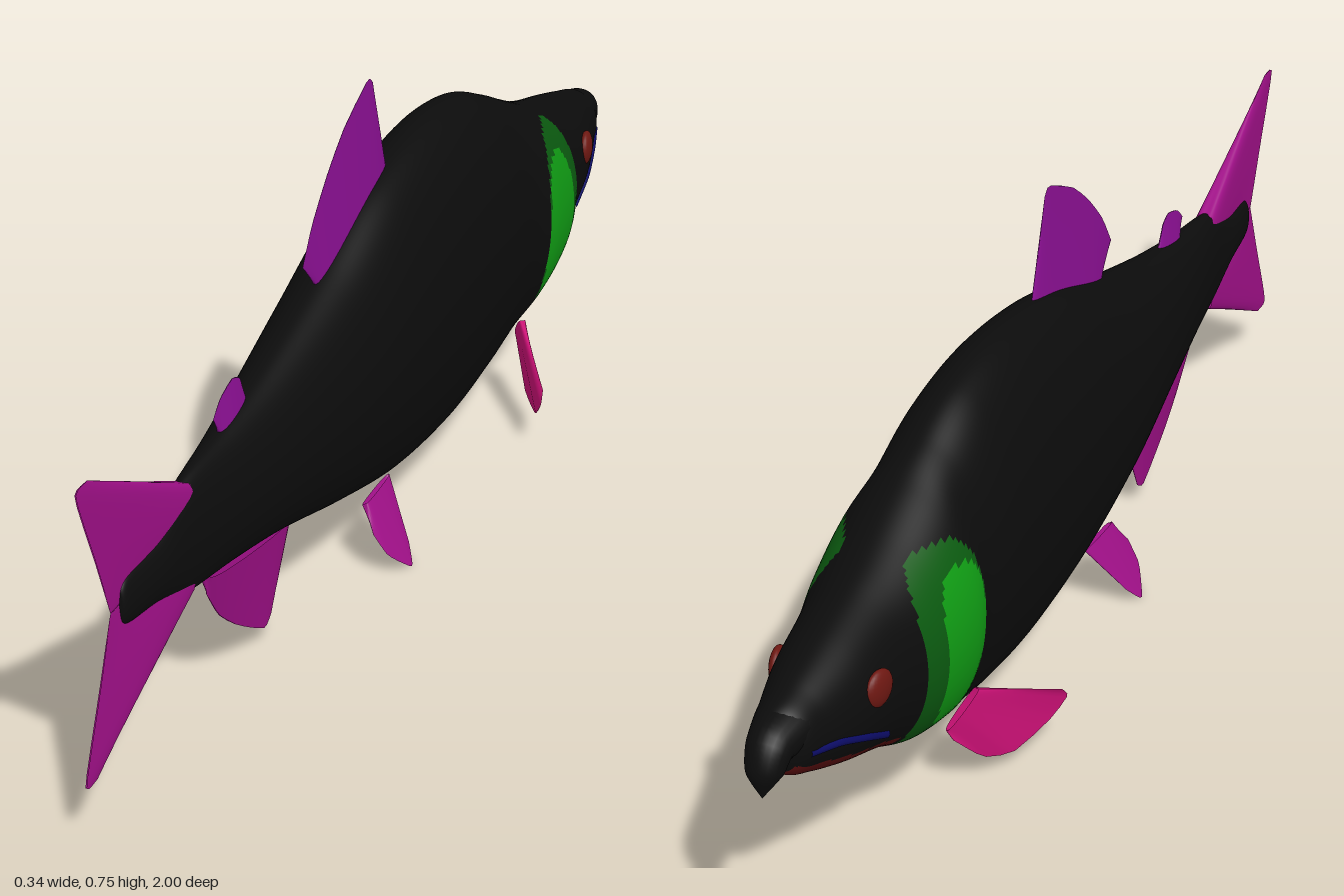
import * as THREE from 'three';

const mat = (name, color, side = THREE.FrontSide) => {
  const m = new THREE.MeshStandardMaterial({ color, side });
  m.name = name;
  return m;
};

// Closed surface through rings: point(v, a) gives [x, y, z]; pick(center) gives a material slot
function loft(point, rows, sides, pick = null) {
  const pos = [], buckets = [[], [], [], []];
  for (let r = 0; r <= rows; r++)
    for (let s = 0; s < sides; s++) pos.push(...point(r / rows, (s / sides) * Math.PI * 2));
  for (let r = 0; r < rows; r++)
    for (let s = 0; s < sides; s++) {
      const a = r * sides + s, b = r * sides + (s + 1) % sides, c = a + sides, d = b + sides;
      const y = (pos[a * 3 + 1] + pos[d * 3 + 1]) / 2, z = (pos[a * 3 + 2] + pos[d * 3 + 2]) / 2;
      buckets[pick ? pick(y, z) : 0].push(a, b, c, b, d, c);
    }
  const geo = new THREE.BufferGeometry();
  geo.setAttribute('position', new THREE.Float32BufferAttribute(pos, 3));
  geo.setIndex(buckets.flat());
  if (pick) {
    let start = 0;
    buckets.forEach((b, i) => { geo.addGroup(start, b.length, i); start += b.length; });
  }
  geo.computeVertexNormals();
  return geo;
}

const curve = pts => new THREE.CatmullRomCurve3(pts.map(p => new THREE.Vector3(...p)), false, 'catmullrom', 0.3);

// Lens-shaped fin stretched from a base line to a thin outer edge
function fin(base, edge, thickness) {
  const b = curve(base), e = curve(edge);
  const chord = b.getPoint(1).sub(b.getPoint(0));
  const n = chord.cross(e.getPoint(0.5).sub(b.getPoint(0.5))).normalize();
  return loft((v, a) => {
    const u = (1 - Math.cos(a)) / 2;
    return b.getPoint(u).lerp(e.getPoint(u), v)
      .addScaledVector(n, thickness * (1 - 0.95 * v) * Math.sin(a)).toArray();
  }, 8, 32);
}
const flat = pts => pts.map(([z, y]) => [0, y, z]);

// Body sections from tail to snout: z, top, bottom, half width
const SECTIONS = [
  [0.885, 0.325, 0.305, 0], [0.87, 0.35, 0.28, 0.012], [0.78, 0.365, 0.265, 0.021],
  [0.69, 0.405, 0.232, 0.028], [0.55, 0.425, 0.212, 0.048], [0.4, 0.455, 0.185, 0.07],
  [0.2, 0.51, 0.133, 0.094], [0, 0.58, 0.087, 0.106], [-0.2, 0.61, 0.07, 0.11],
  [-0.35, 0.597, 0.083, 0.11], [-0.46, 0.555, 0.105, 0.109], [-0.53, 0.522, 0.125, 0.12],
  [-0.62, 0.482, 0.15, 0.112], [-0.7, 0.455, 0.188, 0.092], [-0.8, 0.428, 0.227, 0.077],
  [-0.88, 0.405, 0.262, 0.056], [-0.93, 0.388, 0.29, 0.04], [-0.945, 0.36, 0.33, 0],
];
const spline = i => new THREE.SplineCurve(SECTIONS.map(s => new THREE.Vector2(s[0], s[i])));
const [TOP, BOTTOM, HALF] = [1, 2, 3].map(spline);

// Half width of the body at a given height and length
function surfaceX(y, z) {
  const i = Math.max(1, SECTIONS.findIndex(s => s[0] <= z));
  const [p, q] = [SECTIONS[i - 1], SECTIONS[i]];
  const k = (z - p[0]) / (q[0] - p[0]);
  const [, t, b, h] = p.map((v, j) => v + (q[j] - v) * k);
  const d = (2 * y - t - b) / (t - b);
  return h * Math.sqrt(Math.max(0, 1 - d * d));
}

const blob = (y, z, cy, cz, ry, rz) => Math.abs((y - cy) / ry) ** 3 + Math.abs((z - cz) / rz) ** 3 < 1;

// Colour regions: 0 skin, 1 gill border, 2 gill plate, 3 lower jaw
function region(y, z) {
  if (blob(y, z, 0.3, -0.56, 0.13, 0.06)) return 2;
  if (blob(y, z, 0.3, -0.583, 0.17, 0.085)) return 1;
  if (z < -0.67 && z > -0.935 && y < 0.225 + (-0.72 - z) * 0.4) return 3;
  return 0;
}

export function createModel() {
  const skin = mat('black skin', 0x0c0c0c);
  const gillDark = mat('dark green', 0x0b5a10);
  const gillBright = mat('bright green', 0x109c14);
  const jaw = mat('maroon', 0x5e1010);
  const eyeRed = mat('eye red', 0x6e1812);
  const mouthBlue = mat('mouth blue', 0x0c0c66);
  const violet = mat('violet fin', 0x8c1094, THREE.DoubleSide);
  const purple = mat('purple fin', 0xa01088, THREE.DoubleSide);
  const pink = mat('pink fin', 0xc81074, THREE.DoubleSide);

  const fish = new THREE.Group();
  fish.name = 'fish';
  const add = (name, geo, material) => {
    const m = new THREE.Mesh(geo, material);
    m.name = name;
    fish.add(m);
    return m;
  };

  // Body with gill plates and lower jaw
  add('body', loft((v, a) => {
    const t = TOP.getPoint(v), b = BOTTOM.getPoint(v).y, h = Math.max(0, HALF.getPoint(v).x === t.x ? HALF.getPoint(v).y : 0);
    return [h * Math.sin(a), (t.y + b) / 2 + (t.y - b) / 2 * Math.cos(a), t.x];
  }, 200, 96, region), [skin, gillDark, gillBright, jaw]);

  // Hooked snout
  const path = curve(flat([[-0.84, 0.36], [-0.9, 0.357], [-0.953, 0.348], [-0.974, 0.318], [-0.982, 0.282]]));
  const radii = curve([[0.03, 0.04, 0], [0.045, 0.036, 0], [0.034, 0.032, 0], [0.026, 0.024, 0], [0, 0, 0]]);
  add('snout', loft((v, a) => {
    const p = path.getPoint(v), t = path.getTangent(v), r = radii.getPoint(v);
    return [r.x * Math.sin(a), p.y - t.z * r.y * Math.cos(a), p.z + t.y * r.y * Math.cos(a)];
  }, 28, 24), skin);

  // Fins along the middle
  add('dorsalFin', fin(flat([[0.2, 0.49], [-0.06, 0.585]]),
    flat([[0.258, 0.55], [0.22, 0.605], [0.165, 0.66], [0.1, 0.71], [0.01, 0.752], [-0.01, 0.742]]), 0.01), violet);
  add('adiposeFin', fin(flat([[0.55, 0.41], [0.46, 0.42]]),
    flat([[0.575, 0.45], [0.55, 0.472], [0.51, 0.485], [0.485, 0.475], [0.475, 0.455]]), 0.01), violet);
  add('analFin', fin(flat([[0.61, 0.22], [0.32, 0.17]]),
    flat([[0.61, 0.19], [0.57, 0.135], [0.515, 0.09], [0.46, 0.055], [0.41, 0.028], [0.385, 0.04]]), 0.018), purple);
  for (const [name, s] of [['upperTailFin', 1], ['lowerTailFin', -1]]) {
    const lobe = pts => flat(pts.map(([z, y]) => [z, 0.317 + s * y]));
    add(name, fin(lobe([[0.68, 0.086], [0.68, 0]]),
      lobe([[0.965, 0.228], [1, 0.22], [0.95, 0.1], [0.91, 0]]), 0.018), purple);
  }

  // Paired fins, eyes and mouth lines
  for (const [side, s] of [['left', 1], ['right', -1]]) {
    const mir = pts => pts.map(([x, y, z]) => [s * x, y, z]);
    add(side + 'PectoralFin', fin(mir([[0.082, 0.165, -0.46], [0.055, 0.115, -0.51]]),
      mir([[0.165, 0.11, -0.335], [0.167, 0.09, -0.32], [0.15, 0.06, -0.345],
        [0.12, 0.035, -0.41], [0.09, 0.045, -0.455], [0.065, 0.1, -0.508]]), 0.007), pink);
    const slant = pts => pts.map(([z, y]) => [s * (0.05 + (0.11 - y) * 0.62), y, z]);
    add(side + 'PelvicFin', fin(slant([[0.14, 0.112], [0.04, 0.115]]),
      slant([[0.162, 0.075], [0.155, 0.04], [0.125, 0.012], [0.11, 0.004], [0.085, 0.03]]), 0.008), purple);

    const eye = add(side + 'Eye', new THREE.SphereGeometry(0.029, 24, 16), eyeRed);
    eye.scale.x = 0.4;
    eye.position.set(s * (surfaceX(0.352, -0.775) - 0.002), 0.352, -0.775);
    eye.rotation.y = s * 0.2;

    const line = [[-0.74, 0.255], [-0.8, 0.287], [-0.86, 0.313], [-0.92, 0.327]]
      .map(([z, y]) => [s * (surfaceX(y, z) - 0.002), y, z]);
    add(side + 'MouthLine', new THREE.TubeGeometry(curve(line), 24, 0.007, 8), mouthBlue);
  }
  return fish;
}
